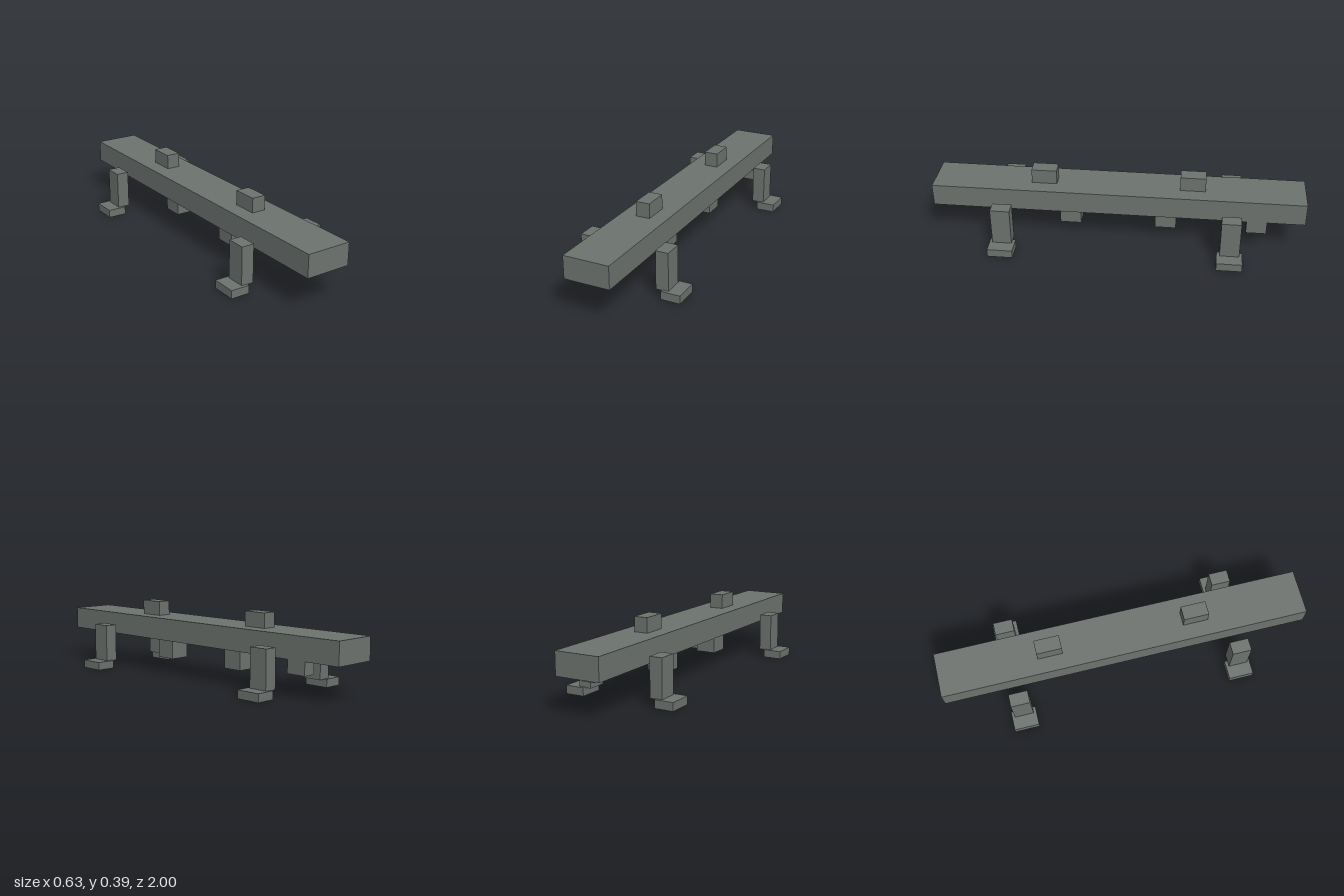
import * as THREE from 'three';

export function createModel() {
  const model = new THREE.Group();
  model.name = 'footedBeam';
  const material = new THREE.MeshStandardMaterial({ color: 0x6c726e, flatShading: true });

  // Box given by its [min, max] extent on each axis
  function block(name, [x0, x1], [y0, y1], [z0, z1], parent = model) {
    const mesh = new THREE.Mesh(new THREE.BoxGeometry(x1 - x0, y1 - y0, z1 - z0), material);
    mesh.name = name;
    mesh.position.set((x0 + x1) / 2, (y0 + y1) / 2, (z0 + z1) / 2);
    parent.add(mesh);
  }
  // The same extent, or its mirror image when sign is -1
  const mirror = (a, b, sign) => (sign > 0 ? [a, b] : [-b, -a]);

  // Long main beam
  block('beam', [-0.122, 0.122], [0.188, 0.309], [-1, 1]);

  for (const end of [1, -1]) {
    const endName = end > 0 ? 'front' : 'back';

    // Stud on top and square block underneath
    block(endName + 'TopStud', [-0.038, 0.038], [0.309, 0.388], mirror(0.332, 0.468, end));
    block(endName + 'UnderBlock', [-0.056, 0.056], [0.075, 0.188], mirror(0.203, 0.317, end));

    // Free-standing legs with outward feet
    for (const side of [1, -1]) {
      const leg = new THREE.Group();
      leg.name = endName + (side > 0 ? 'Left' : 'Right') + 'Leg';
      block('post', mirror(0.174, 0.243, side), [0.041, 0.248], mirror(0.558, 0.662, end), leg);
      block('foot', mirror(0.209, 0.313, side), [0, 0.044], mirror(0.542, 0.678, end), leg);
      model.add(leg);
    }
  }

  // Small off-centre block under the back end, flush with the left side
  block('sideBlock', [0.052, 0.122], [0.118, 0.188], [-0.8, -0.692]);

  return model;
}
